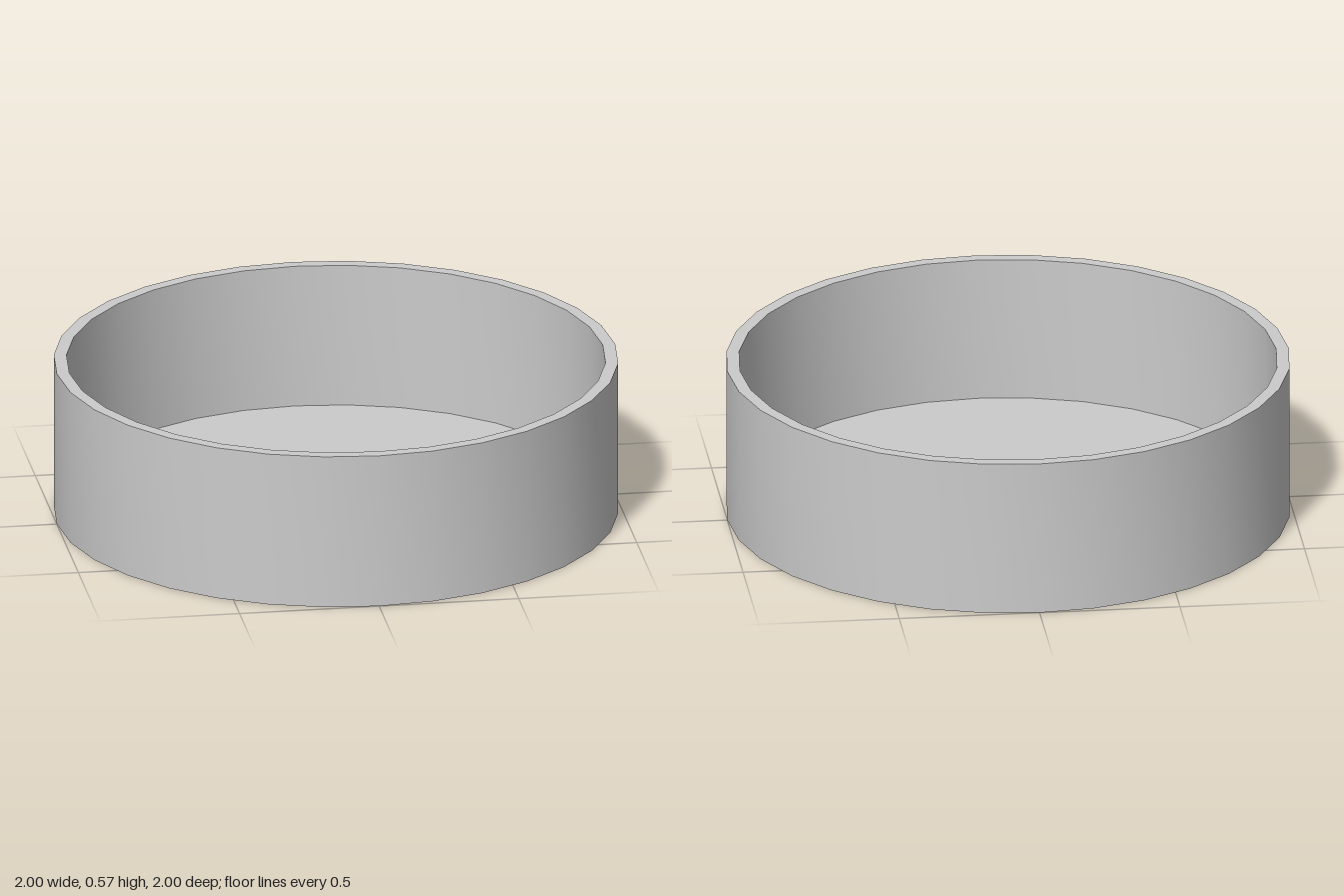
import * as THREE from 'three';
import { toCreasedNormals } from 'three/addons/utils/BufferGeometryUtils.js';

const SIDES = 32;
const OUTER = 1, INNER = 0.955;
const HEIGHT = 0.567, FLOOR = 0.04;

export function createModel() {
  const group = new THREE.Group();
  group.name = 'roundTray';
  const material = new THREE.MeshStandardMaterial({ color: 0xcccccc });

  // Closed profile: underside, outer wall, rim, inner wall, floor
  const profile = [
    [0, 0], [OUTER, 0], [OUTER, HEIGHT],
    [INNER, HEIGHT], [INNER, FLOOR], [0, FLOOR],
  ].map(([r, y]) => new THREE.Vector2(r, y));

  // Smooth round walls with sharp rim and floor edges
  const geometry = toCreasedNormals(new THREE.LatheGeometry(profile, SIDES), Math.PI / 6);
  const tray = new THREE.Mesh(geometry, material);
  tray.name = 'tray';
  group.add(tray);

  return group;
}
